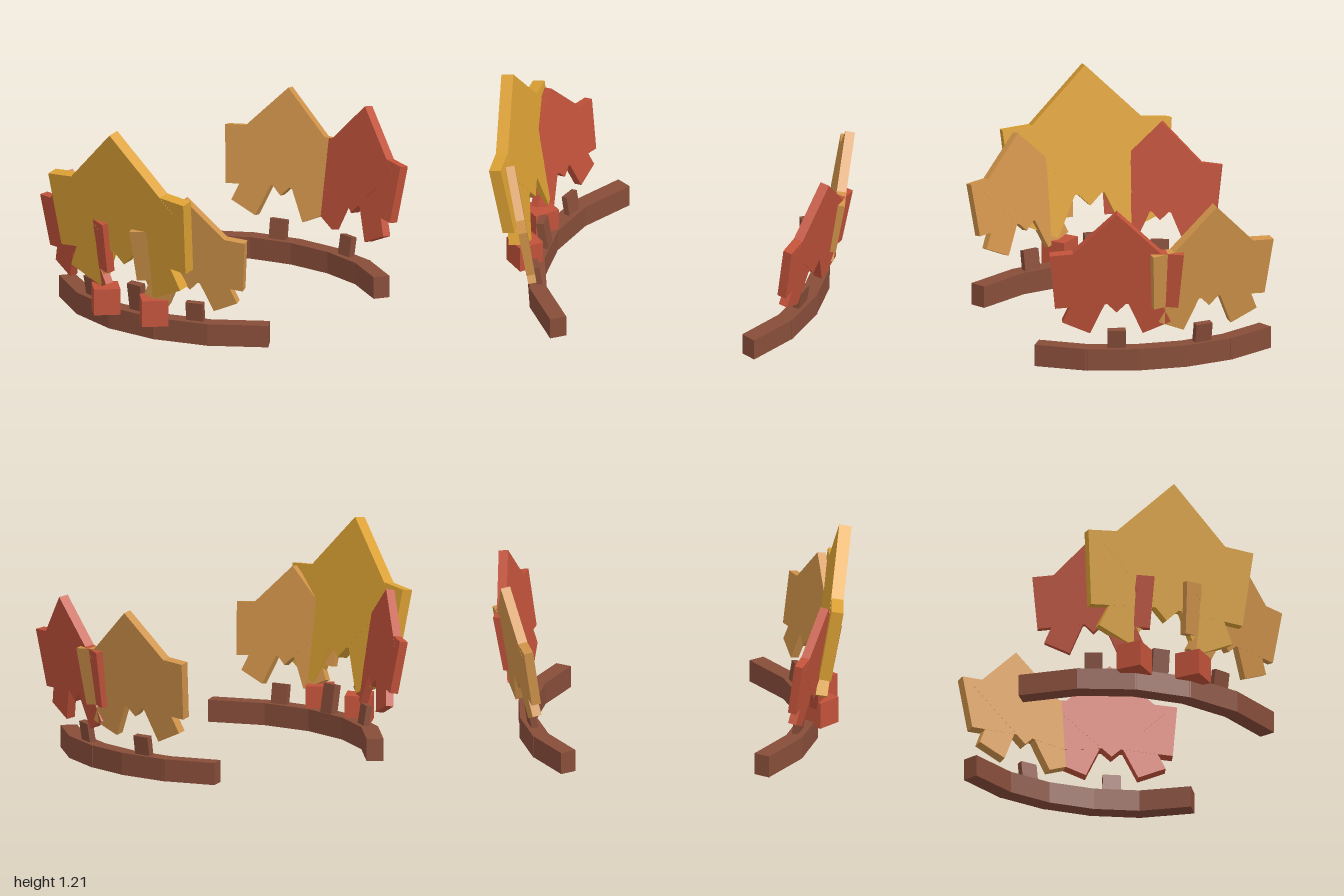
import * as THREE from 'three';

const deg = THREE.MathUtils.degToRad;

function material(name, hex) {
  const m = new THREE.MeshStandardMaterial({ color: hex });
  m.name = name;
  return m;
}

function box(name, mat, size, pos, rot = [0, 0, 0]) {
  const mesh = new THREE.Mesh(new THREE.BoxGeometry(...size), mat);
  mesh.name = name;
  mesh.position.set(...pos);
  mesh.rotation.set(...rot.map(deg), 'YXZ');
  return mesh;
}

// A blocky leaf: diamond centre, two side lobes and two lower lobes in one leaning plane
function leaf(name, mat, scale, pos, yaw, tilt = 9.3) {
  const g = new THREE.Group();
  g.name = name;
  g.add(box('leafCentre', mat, [0.56, 0.56, 0.07], [0, 0, 0], [0, 0, 45]));
  for (const s of [-1, 1]) {
    g.add(box('sideLobe', mat, [0.42, 0.428, 0.068], [s * 0.256, -0.131, 0], [0, 0, -s * 5.3]));
    g.add(box('lowerLobe', mat, [0.22, 0.3, 0.066], [s * 0.23, -0.384, 0], [0, 0, s * 24]));
  }
  g.scale.setScalar(scale);
  g.position.set(...pos);
  g.rotation.set(deg(tilt), deg(yaw), 0, 'YXZ');
  return g;
}

// Curved rail of five straight pieces; entries are [x, z, length, yaw], mirrored in x
function rail(name, mat, pieces, depth) {
  const g = new THREE.Group();
  g.name = name;
  for (const [x, z, length, yaw] of pieces) {
    for (const s of x ? [-1, 1] : [1]) {
      g.add(box('railPiece', mat, [length, 0.125, depth], [s * x, 0.0625, z], [0, s * yaw, 0]));
    }
  }
  return g;
}

export function createModel() {
  const yellow = material('golden yellow', 0xdca134);
  const orange = material('soft orange', 0xd0934a);
  const red = material('autumn red', 0xc1523a);
  const brown = material('wood brown', 0x874d39);

  const model = new THREE.Group();
  model.name = 'leafWreath';

  // Front and back rails
  model.add(rail('frontRail', brown,
    [[0, 0.76, 0.33, 0], [0.3, 0.715, 0.33, 17], [0.584, 0.578, 0.34, 34]], 0.095));
  model.add(rail('backRail', brown,
    [[0, -0.802, 0.27, 180], [0.265, -0.771, 0.3, 166.5], [0.52, -0.668, 0.31, 150]], 0.093));

  // Leaves
  model.add(leaf('frontCentreLeaf', yellow, 1, [0, 0.815, 0.9], 0));
  model.add(leaf('frontRightLeaf', red, 0.7, [-0.405, 0.605, 0.797], -20));
  model.add(leaf('frontLeftLeaf', orange, 0.7, [0.405, 0.605, 0.797], 20));
  model.add(leaf('backRightLeaf', orange, 0.77, [-0.27, 0.66, -0.885], 192.5));
  model.add(leaf('backLeftLeaf', red, 0.77, [0.27, 0.66, -0.885], 167.5));

  // Leaf stems standing on the rails
  model.add(box('frontCentreStem', brown, [0.095, 0.2, 0.045], [0, 0.185, 0.75], [9.3, 0, 0]));
  for (const s of [-1, 1]) {
    model.add(box('frontSideStem', brown, [0.1, 0.15, 0.034], [s * 0.37, 0.16, 0.695], [9.3, s * 20, 0]));
    model.add(box('backStem', brown, [0.1, 0.16, 0.037], [s * 0.245, 0.155, -0.785], [9.3, 180 - s * 12.5, 0]));
  }

  // Berry cubes turned corner-forward
  for (const s of [-1, 1]) {
    model.add(box('berry', red, [0.148, 0.15, 0.148], [s * 0.173, 0.175, 0.818], [0, 45, 0]));
  }

  return model;
}
